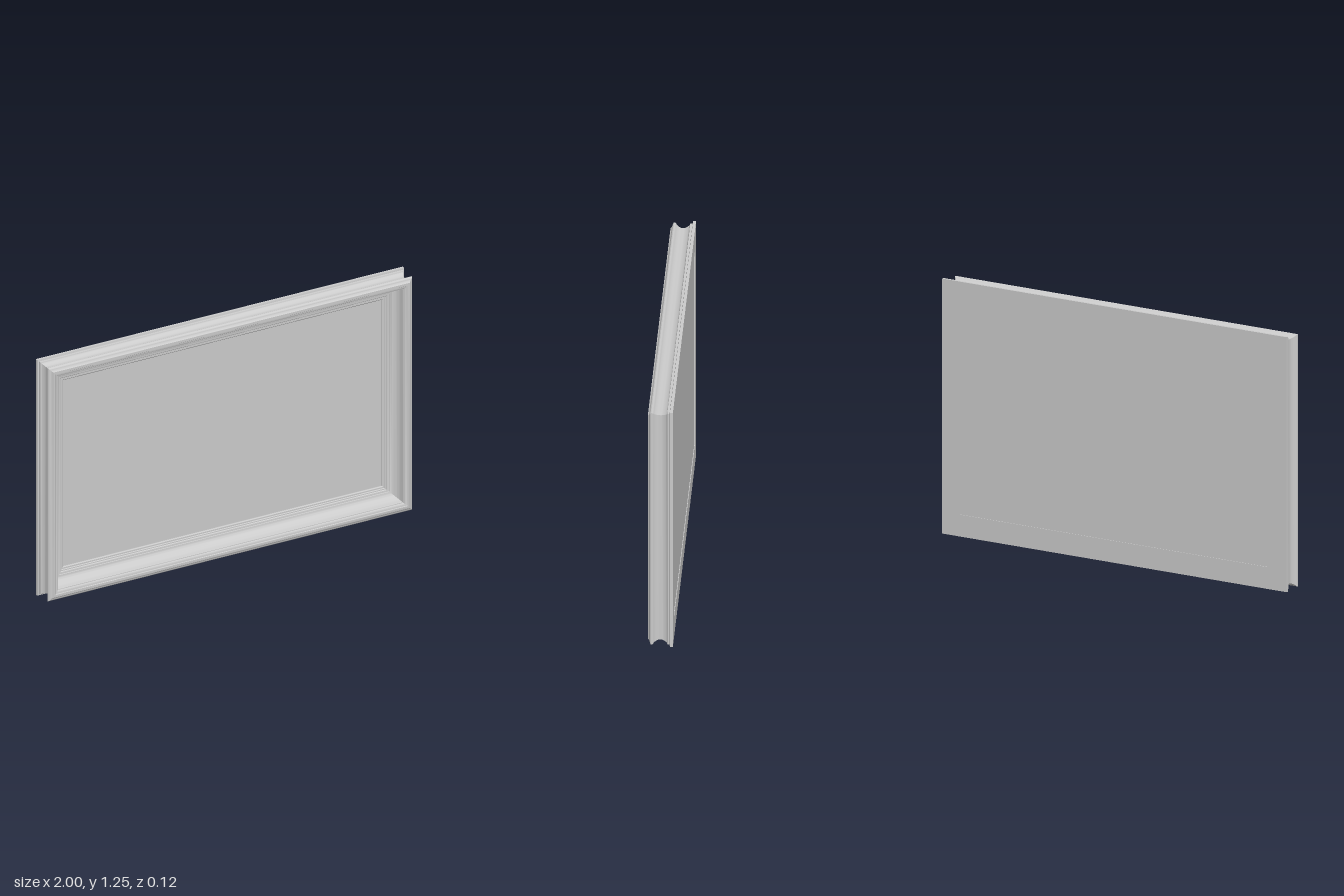
import * as THREE from 'three';
import { toCreasedNormals } from 'three/addons/utils/BufferGeometryUtils.js';

const HALF_W = 1, HALF_H = 0.6225;

// Quarter-turn style curve between two profile points, bowed towards a control point
function bow(a, c, b, n) {
  const v = (p) => new THREE.Vector2(p[0], p[1]);
  return new THREE.QuadraticBezierCurve(v(a), v(c), v(b)).getPoints(n).map((p) => [p.x, p.y]);
}

// Moulding section as [inset from outer edge, z], closed, from the back outer edge forwards
function mouldingProfile() {
  return [
    // back flange and its step
    [0, -0.06], [0, -0.046], [0.008, -0.044], [0.009, -0.033], [0.014, -0.031],
    // hollow on the outer side
    ...bow([0.014, -0.031], [0.038, 0.001], [0.014, 0.031], 12).slice(1),
    // rounded bead and front rim
    ...bow([0.009, 0.035], [0.002, 0.044], [0.013, 0.05], 6),
    [0.017, 0.051], [0.025, 0.056], [0.027, 0.06], [0.04, 0.06],
    ...bow([0.042, 0.057], [0.047, 0.058], [0.054, 0.053], 3),
    [0.056, 0.047],
    // deep hollow running in towards the panel
    ...bow([0.059, 0.047], [0.064, -0.004], [0.099, -0.011], 12),
    // small steps at the sight edge
    [0.1, -0.015],
    ...bow([0.104, -0.015], [0.111, -0.015], [0.112, -0.021], 4),
    [0.117, -0.021], [0.119, -0.026], [0.126, -0.026], [0.13, -0.029], [0.13, -0.033],
    // rebate holding the panel
    [0.107, -0.033], [0.107, -0.06],
  ];
}

// Sweep the section around a rectangle with mitred corners
function mitredFrame(profile) {
  const corners = [[-1, -1], [1, -1], [1, 1], [-1, 1]];
  const pos = [];
  const at = (k, j) => {
    const [sx, sy] = corners[k % 4], [inset, z] = profile[j % profile.length];
    return [sx * (HALF_W - inset), HALF_H + sy * (HALF_H - inset), z];
  };
  for (let k = 0; k < 4; k++) {
    for (let j = 0; j < profile.length; j++) {
      const a = at(k, j), b = at(k + 1, j), c = at(k + 1, j + 1), d = at(k, j + 1);
      pos.push(...a, ...b, ...c, ...a, ...c, ...d);
    }
  }
  const geo = new THREE.BufferGeometry();
  geo.setAttribute('position', new THREE.Float32BufferAttribute(pos, 3));
  return toCreasedNormals(geo, 0.6);
}

export function createModel() {
  const group = new THREE.Group();
  group.name = 'pictureFrame';
  const material = new THREE.MeshStandardMaterial({ color: 0xcccccc });

  const frame = new THREE.Mesh(mitredFrame(mouldingProfile()), material);
  frame.name = 'frameMoulding';
  group.add(frame);

  // Flat panel, set just inside the back face
  const inset = 0.107, back = -0.057, front = -0.033;
  const panel = new THREE.Mesh(
    new THREE.BoxGeometry(2 * (HALF_W - inset), 2 * (HALF_H - inset), front - back), material);
  panel.name = 'picturePanel';
  panel.position.set(0, HALF_H, (front + back) / 2);
  group.add(panel);

  return group;
}
